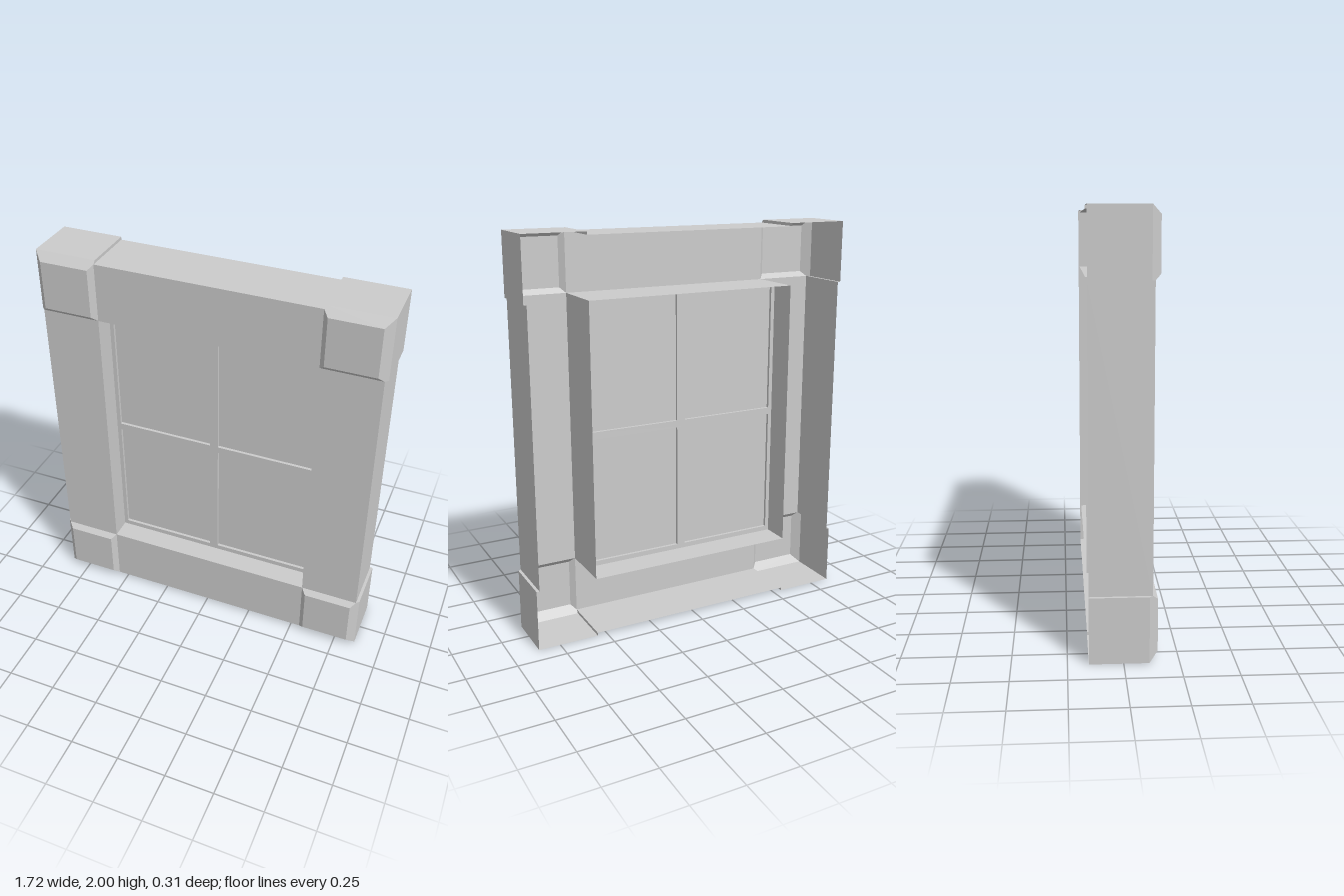
import * as THREE from 'three';

const material = new THREE.MeshStandardMaterial({ color: 0xcccccc, flatShading: true, side: THREE.DoubleSide });

// Heights are measured from the window centre, then lifted by HALF_H.
const HALF_H = 1, HALF_W = 0.86;
const OPEN_X = 0.55, OPEN_Y = 0.69;          // half size of the opening
const CAP = 0.31, STEP = 0.015;              // corner block size, its overhang
const BACK = -0.155, FACE = 0.13, CAP_FACE = 0.155, CAP_EDGE = 0.115;

function mesh(name, geometry) {
  const m = new THREE.Mesh(geometry, material);
  m.name = name;
  return m;
}

// Flat convex polygons, fan-triangulated into one sheet
function sheet(polygons) {
  const pos = [];
  for (const p of polygons) {
    for (let i = 1; i < p.length - 1; i++) pos.push(...p[0], ...p[i], ...p[i + 1]);
  }
  const g = new THREE.BufferGeometry();
  g.setAttribute('position', new THREE.Float32BufferAttribute(pos, 3));
  g.computeVertexNormals();
  return g;
}

// Frame side: a U-shaped channel, open at the back, running along x above the centre
function channel(halfLength, inner, outer) {
  const profile = [[inner, BACK], [inner, FACE], [outer, FACE], [outer, BACK]];
  const quads = [];
  for (let i = 0; i < 3; i++) {
    const [y0, z0] = profile[i], [y1, z1] = profile[i + 1];
    quads.push([[-halfLength, y0, z0], [halfLength, y0, z0], [halfLength, y1, z1], [-halfLength, y1, z1]]);
  }
  return sheet(quads);
}

// Corner block: hollow, chamfered front, outer walls and narrow step walls
function cornerBlock(sx, sy) {
  const a = 0.025, b = 0.27, s = CAP - STEP;
  const half = [
    // inner chamfer
    [[0, 0, FACE], [s, 0, FACE], [b, a, CAP_FACE], [a, a, CAP_FACE]],
    // outer chamfer
    [[b, a, CAP_FACE], [s, 0, FACE], [CAP, 0, CAP_EDGE], [CAP, CAP, CAP_EDGE], [b, b, CAP_FACE]],
    // outer wall
    [[CAP, 0, CAP_EDGE], [CAP, 0, BACK], [CAP, CAP, BACK], [CAP, CAP, CAP_EDGE]],
    // step beside the channel
    [[s, 0, FACE], [s, 0, BACK], [CAP, 0, BACK], [CAP, 0, CAP_EDGE]],
  ];
  const swapped = half.map(p => p.map(([u, v, z]) => [v, u, z]).reverse());
  const front = [[a, a, CAP_FACE], [b, a, CAP_FACE], [b, b, CAP_FACE], [a, b, CAP_FACE]];
  const polygons = [front, ...half, ...swapped].map(p => {
    const q = p.map(([u, v, z]) => [sx * (OPEN_X + u), sy * (OPEN_Y + v), z]);
    return sx * sy < 0 ? q.reverse() : q;
  });
  return sheet(polygons);
}

// Rectangle path between two corners
function rect(path, x0, y0, x1, y1) {
  path.moveTo(x0, y0);
  path.lineTo(x1, y0);
  path.lineTo(x1, y1);
  path.lineTo(x0, y1);
  path.closePath();
  return path;
}

export function createModel() {
  const group = new THREE.Group();
  group.name = 'window';
  const body = new THREE.Group();
  body.name = 'windowBody';
  body.position.y = HALF_H;
  group.add(body);

  // Surrounding frame
  const rail = channel(OPEN_X, OPEN_Y, HALF_H - STEP);
  const post = channel(OPEN_Y, OPEN_X, HALF_W - STEP);
  const sides = [['topRail', rail, 0], ['leftPost', post, -1], ['bottomRail', rail, 2], ['rightPost', post, 1]];
  for (const [name, geometry, turns] of sides) {
    body.add(mesh(name, geometry.clone().rotateZ(turns * Math.PI / 2)));
  }

  // Corner blocks
  for (const sx of [-1, 1]) {
    for (const sy of [-1, 1]) {
      const name = (sy > 0 ? 'top' : 'bottom') + (sx > 0 ? 'Left' : 'Right') + 'Corner';
      body.add(mesh(name, cornerBlock(sx, sy)));
    }
  }

  // Sash with four openings
  const sash = rect(new THREE.Shape(), -OPEN_X, -OPEN_Y, OPEN_X, OPEN_Y);
  const barX = 0.022, barY = 0.018, paneX = 0.53, paneY = 0.665;
  for (const sx of [-1, 1]) {
    for (const sy of [-1, 1]) {
      sash.holes.push(rect(new THREE.Path(), sx * barX, sy * barY, sx * paneX, sy * paneY));
      // Glass pane
      const pane = mesh('pane', new THREE.PlaneGeometry(paneX - barX, paneY - barY));
      pane.position.set(sx * (paneX + barX) / 2, sy * (paneY + barY) / 2, 0.006);
      body.add(pane);
    }
  }
  const sashMesh = mesh('sash', new THREE.ExtrudeGeometry(sash, { depth: 0.03, bevelEnabled: false }));
  sashMesh.position.z = -0.009;
  body.add(sashMesh);

  return group;
}
